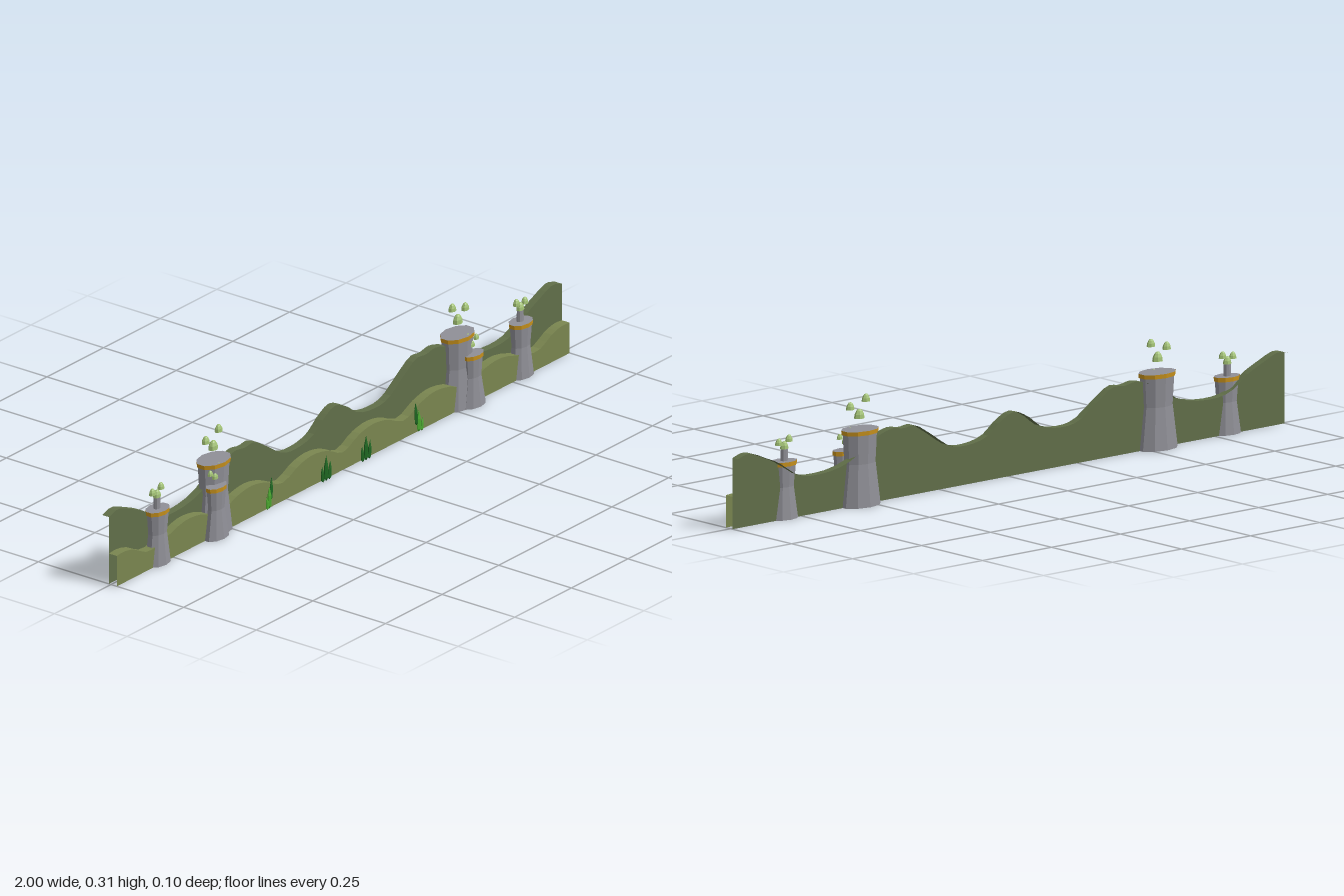
import * as THREE from 'three';

const mat = (name, color, side = THREE.FrontSide) => {
  const m = new THREE.MeshStandardMaterial({ color, side, flatShading: true });
  m.name = name;
  return m;
};

export function createModel() {
  const root = new THREE.Group();
  root.name = 'hillLandscape';
  const frontGreen = mat('olive green', 0x7a8650, THREE.DoubleSide);
  const backGreen = mat('moss green', 0x616f49, THREE.DoubleSide);
  const stone = mat('tower grey', 0x8f8f96);
  const gold = mat('rim gold', 0xc8921c);
  const puffGreen = mat('pale green', 0xa2c274);
  const darkLeaf = mat('dark leaf', 0x1f6a22);
  const brightLeaf = mat('bright leaf', 0x4cab30);

  const add = (parent, name, geo, material, x = 0, y = 0, z = 0) => {
    const m = new THREE.Mesh(geo, material);
    m.name = name;
    m.position.set(x, y, z);
    parent.add(m);
    return m;
  };

  // Strip of quads between two rows of points
  const ribbon = (a, b) => {
    const pos = [], idx = [];
    a.forEach((p, i) => {
      pos.push(...p, ...b[i]);
      if (i) {
        const k = 2 * i;
        idx.push(k - 2, k, k - 1, k, k + 1, k - 1);
      }
    });
    const g = new THREE.BufferGeometry();
    g.setAttribute('position', new THREE.Float32BufferAttribute(pos, 3));
    g.setIndex(idx);
    g.computeVertexNormals();
    return g;
  };

  // Hill layer: an upright front sheet and a crest strip running back from it
  const hill = (name, half, zFront, zBack, material) => {
    const pts = [
      ...half.slice().reverse().map(([x, y]) => new THREE.Vector3(-x, y, 0)),
      ...half.slice(1).map(([x, y]) => new THREE.Vector3(x, y, 0)),
    ];
    const crest = new THREE.CatmullRomCurve3(pts).getPoints(84);
    const row = (z, floor) => crest.map((p) => [p.x, floor ? 0 : p.y, z]);
    const g = new THREE.Group();
    g.name = name;
    add(g, name + 'Face', ribbon(row(zFront, true), row(zFront, false)), material);
    add(g, name + 'Crest', ribbon(row(zFront, false), row(zBack, false)), material);
    root.add(g);
  };
  hill('backHill', [[0, 0.183], [0.05, 0.163], [0.1, 0.128], [0.17, 0.115], [0.23, 0.122],
    [0.3, 0.165], [0.36, 0.199], [0.4, 0.196], [0.44, 0.202], [0.5, 0.185], [0.6, 0.13],
    [0.7, 0.113], [0.78, 0.122], [0.85, 0.165], [0.9, 0.187], [0.96, 0.208], [1, 0.198]],
  -0.007, -0.03, backGreen);
  hill('frontHill', [[0, 0.052], [0.07, 0.08], [0.13, 0.09], [0.19, 0.082], [0.27, 0.053],
    [0.34, 0.08], [0.4, 0.092], [0.46, 0.086], [0.55, 0.06], [0.63, 0.085], [0.7, 0.09],
    [0.78, 0.07], [0.86, 0.055], [0.93, 0.085], [0.97, 0.092], [1, 0.09]],
  0.02, -0.007, frontGreen);

  // Bell-shaped vapour puff
  const puffProfile = [[0, 0], [0.016, 0], [0.014, 0.011], [0.009, 0.02], [0.005, 0.024], [0, 0.025]]
    .map(([r, y]) => new THREE.Vector2(r, y));
  const puffGeo = new THREE.LatheGeometry(puffProfile, 7);
  const puff = (parent, x, y, z, s = 1) =>
    add(parent, 'vapourPuff', puffGeo, puffGreen, x, y, z).scale.set(s, s, s * 0.72);

  // Cooling tower: waisted stone shell, gold rim and stone lid
  const tower = (parent, name, x, z, h, base, waist, top, squash) => {
    const g = new THREE.Group();
    g.name = name;
    g.position.set(x, 0, z);
    g.scale.z = squash;
    const shell = [[0, 0], [base, 0], [waist, h * 0.56], [top * 0.92, h - 0.011]]
      .map(([r, y]) => new THREE.Vector2(r, y));
    add(g, name + 'Shell', new THREE.LatheGeometry(shell, 10), stone);
    add(g, name + 'Rim', new THREE.CylinderGeometry(top, top * 0.98, 0.012, 10),
      [gold, stone, gold], 0, h - 0.006, 0);
    parent.add(g);
  };

  // Spiky plant made of slim spindles
  const spindle = new THREE.LatheGeometry([[0, 0], [0.5, 0.12], [0.42, 0.6], [0, 1]]
    .map(([r, y]) => new THREE.Vector2(r, y)), 5);
  const blade = (parent, material, x, y, z, w, h, lean = 0) => {
    const m = add(parent, 'leafBlade', spindle, material, x, y, z);
    m.scale.set(w, h, w * 0.7);
    m.rotation.z = lean;
  };

  for (const s of [-1, 1]) {
    const side = new THREE.Group();
    side.name = s > 0 ? 'leftCluster' : 'rightCluster';
    root.add(side);

    // Towers
    tower(side, 'largeTower', s * 0.538, -0.007, 0.212, 0.066, 0.05, 0.06, 0.66);
    tower(side, 'mediumTower', s * 0.567, 0.025, 0.152, 0.046, 0.03, 0.038, 0.6);
    tower(side, 'smallTower', s * 0.802, 0.006, 0.16, 0.046, 0.033, 0.042, 0.66);

    // Vapour over the large and medium towers
    puff(side, s * 0.54, 0.241, -0.007, 1.05);
    puff(side, s * 0.573, 0.269, -0.007, 0.85);
    puff(side, s * 0.516, 0.285, -0.007, 0.85);
    puff(side, s * 0.567, 0.17, 0.02, 0.7);
    puff(side, s * 0.587, 0.185, 0.02, 0.6);
    puff(side, s * 0.55, 0.198, 0.02, 0.6);

    // Stack and vapour on the small tower
    add(side, 'smallStack', new THREE.CylinderGeometry(0.011, 0.012, 0.045, 8), stone,
      s * 0.802, 0.18, 0.004).scale.z = 0.7;
    puff(side, s * 0.802, 0.193, 0.004, 0.85);
    puff(side, s * 0.822, 0.205, 0.004, 0.75);
    puff(side, s * 0.785, 0.211, 0.004, 0.75);

    // Inner plant
    const inner = new THREE.Group();
    inner.name = 'innerPlant';
    inner.position.set(s * 0.088, 0, 0.03);
    side.add(inner);
    blade(inner, darkLeaf, 0, 0, 0, 0.016, 0.075);
    blade(inner, darkLeaf, -0.014, 0, 0, 0.013, 0.048, 0.08);
    blade(inner, darkLeaf, 0.014, 0, 0, 0.013, 0.055, -0.08);

    // Outer plant
    const outer = new THREE.Group();
    outer.name = 'outerPlant';
    outer.position.set(s * 0.33, 0, 0.023);
    side.add(outer);
    blade(outer, brightLeaf, 0, 0, 0, 0.016, 0.065);
    blade(outer, darkLeaf, -s * 0.008, 0.02, -0.002, 0.014, 0.07, s * 0.06);
    blade(outer, brightLeaf, s * 0.01, 0, 0.002, 0.011, 0.04, -s * 0.1);
  }
  return root;
}
